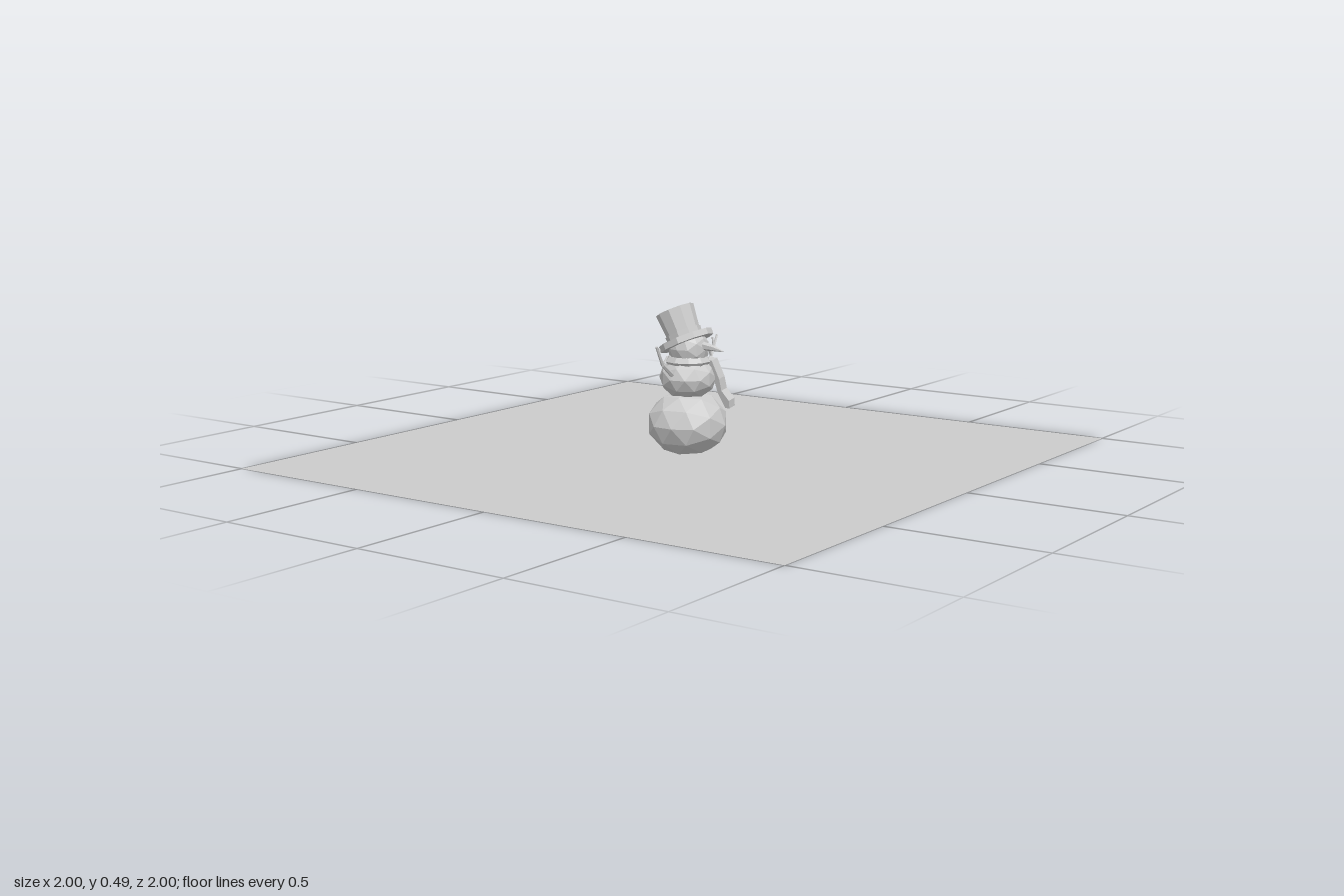
import * as THREE from 'three';

const grey = new THREE.MeshStandardMaterial({ color: 0xcccccc, flatShading: true, side: THREE.DoubleSide });

function add(parent, name, geometry, x = 0, y = 0, z = 0) {
  const mesh = new THREE.Mesh(geometry, grey);
  mesh.name = name;
  mesh.position.set(x, y, z);
  parent.add(mesh);
  return mesh;
}

// Faceted snowball; corners below ground are drawn in toward its centre to sit flat
function snowball(parent, name, radius, y, squash, z) {
  const geo = new THREE.IcosahedronGeometry(radius, 1);
  geo.scale(1, squash, 1);
  const p = geo.attributes.position;
  for (let i = 0; i < p.count; i++) {
    const k = p.getY(i) < -y ? -y / p.getY(i) : 1;
    p.setXYZ(i, p.getX(i) * k, p.getY(i) * k, p.getZ(i) * k);
  }
  return add(parent, name, geo, 0, y, z);
}

// Tapered rod between two points
function rod(parent, name, a, b, r0, r1, sides = 5) {
  const from = new THREE.Vector3(...a), to = new THREE.Vector3(...b);
  const dir = to.clone().sub(from);
  const mesh = add(parent, name, new THREE.CylinderGeometry(r1, r0, dir.length(), sides));
  mesh.position.copy(from).add(to).multiplyScalar(0.5);
  mesh.quaternion.setFromUnitVectors(new THREE.Vector3(0, 1, 0), dir.normalize());
  return mesh;
}

export function createModel() {
  const model = new THREE.Group();
  model.name = 'snowman';

  // Ground sheet
  add(model, 'ground', new THREE.PlaneGeometry(2, 2).rotateX(-Math.PI / 2));

  // Three balls of snow
  snowball(model, 'lowerBody', 0.132, 0.1, 0.82, -0.004).geometry.rotateY(0.2);
  snowball(model, 'upperBody', 0.093, 0.25, 0.78, -0.003).geometry.rotateY(0.5);
  snowball(model, 'head', 0.067, 0.345, 1, 0);

  // Scarf wrapped round the neck, with one hanging end
  const scarf = new THREE.Group();
  scarf.name = 'scarf';
  model.add(scarf);
  const wrap = new THREE.TorusGeometry(0.057, 0.018, 5, 10).rotateX(Math.PI / 2);
  add(scarf, 'scarfWrap', wrap, 0, 0.303, -0.003);
  const side = new THREE.Shape();
  [[0.055, 0.31], [0.075, 0.31], [0.096, 0.25], [0.1, 0.21], [0.125, 0.178], [0.124, 0.152],
    [0.108, 0.152], [0.085, 0.2], [0.075, 0.25]]
    .forEach(([z, y], i) => (i ? side.lineTo(z, y - 0.31) : side.moveTo(z, y - 0.31)));
  const tailGeo = new THREE.ExtrudeGeometry(side, { depth: 0.032, bevelEnabled: false });
  tailGeo.translate(0, 0, -0.016).rotateY(-Math.PI / 2);
  add(scarf, 'scarfEnd', tailGeo, 0.037, 0.31, 0).rotation.z = 0.19;

  // Slightly drooping carrot nose
  const nose = new THREE.Group();
  nose.name = 'nose';
  model.add(nose);
  rod(nose, 'noseBase', [0, 0.357, 0.045], [0, 0.352, 0.095], 0.016, 0.01, 6);
  rod(nose, 'noseTip', [0, 0.352, 0.095], [0, 0.344, 0.134], 0.01, 0.002, 6);

  // Stick arms with forked twigs
  for (const s of [1, -1]) {
    const arm = new THREE.Group();
    arm.name = s > 0 ? 'leftArm' : 'rightArm';
    model.add(arm);
    const z = -0.005;
    const elbow = s > 0 ? [0.135, 0.3, z] : [-0.135, 0.305, z];
    rod(arm, 'upperStick', [s * 0.07, 0.255, z], elbow, 0.008, 0.006);
    rod(arm, 'lowerStick', elbow, [s * 0.169, 0.368, z], 0.006, 0.004);
    rod(arm, 'innerTwig', elbow, [s * 0.115, 0.332, z + 0.004], 0.004, 0.003);
    rod(arm, 'outerTwig', [s * 0.15, 0.33, z], [s * 0.148, 0.362, z - 0.004], 0.004, 0.003);
  }

  // Top hat tilted back
  const hat = new THREE.Group();
  hat.name = 'hat';
  hat.position.set(0, 0.368, -0.01);
  hat.rotation.x = -0.44;
  model.add(hat);
  add(hat, 'brim', new THREE.CylinderGeometry(0.09, 0.09, 0.02, 10));
  add(hat, 'crown', new THREE.CylinderGeometry(0.064, 0.053, 0.1, 10), 0, 0.056, 0);
  add(hat, 'hatBand', new THREE.CylinderGeometry(0.06, 0.058, 0.02, 10), 0, 0.02, 0);

  return model;
}
